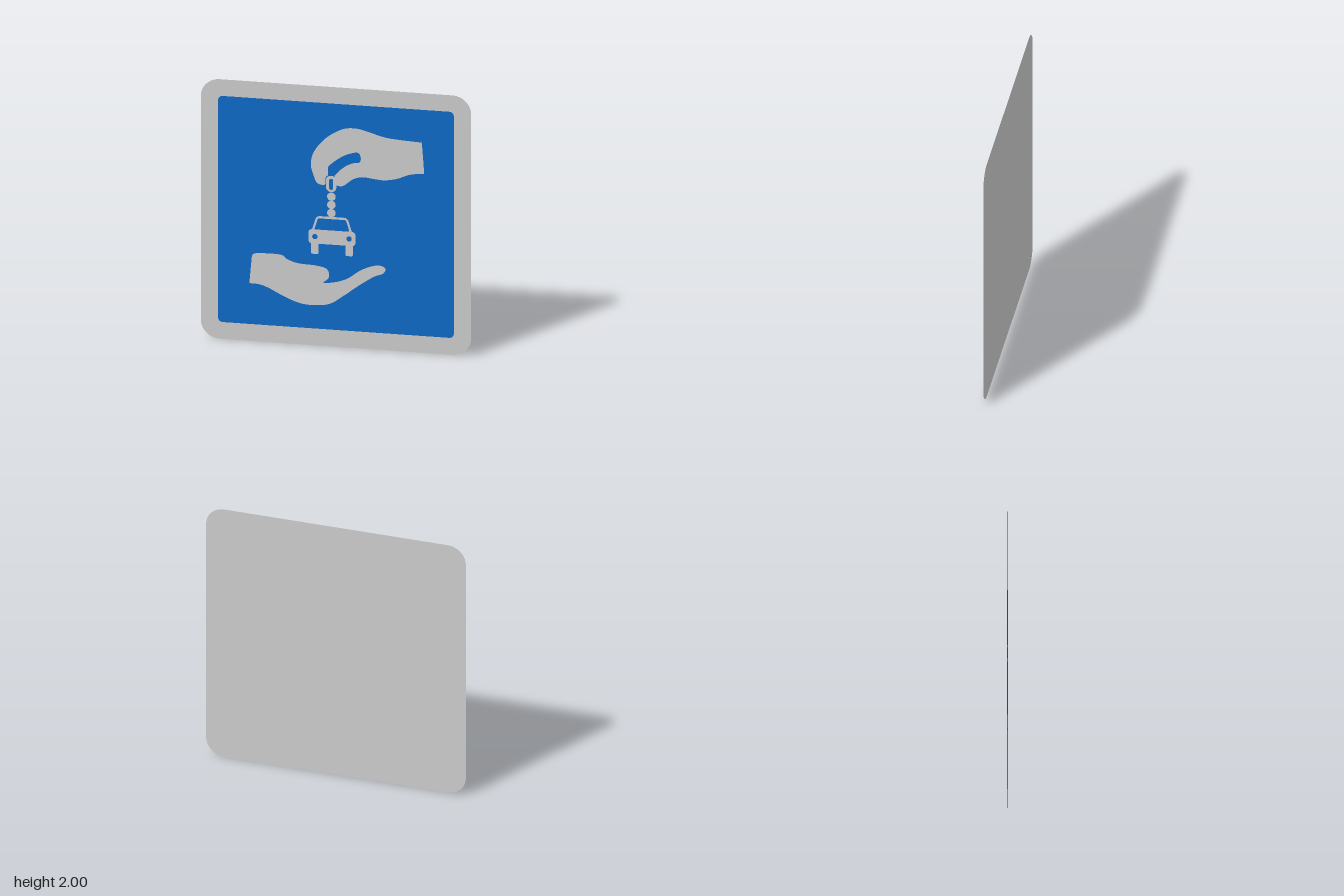
import * as THREE from 'three';

const grey = new THREE.MeshStandardMaterial({ color: 0xcccccc, side: THREE.DoubleSide });
const blue = new THREE.MeshStandardMaterial({ color: 0x0e69c5, side: THREE.DoubleSide });

// Closed outline from smooth runs; corners stay sharp where runs meet.
function outline(...runs) {
  const points = [];
  for (const run of runs) {
    const v = run.map(([x, y]) => new THREE.Vector2(x, y));
    points.push(...(v.length > 2 ? new THREE.SplineCurve(v).getPoints(v.length * 5) : v));
  }
  return new THREE.Shape(points.filter((p, i) => i === 0 || p.distanceTo(points[i - 1]) > 1e-5));
}

// Polygon with every corner rounded by radius r.
function rounded(corners, r) {
  const v = corners.map(([x, y]) => new THREE.Vector2(x, y));
  const s = new THREE.Shape();
  v.forEach((p, i) => {
    const toward = (q) => p.clone().add(q.clone().sub(p).setLength(r));
    const a = toward(v[(i + v.length - 1) % v.length]);
    const b = toward(v[(i + 1) % v.length]);
    if (i === 0) s.moveTo(a.x, a.y); else s.lineTo(a.x, a.y);
    const k = 0.552; // circle-like corner
    const c1 = a.clone().lerp(p, k), c2 = b.clone().lerp(p, k);
    s.bezierCurveTo(c1.x, c1.y, c2.x, c2.y, b.x, b.y);
  });
  s.closePath();
  return s;
}

const rect = (x0, y0, x1, y1, r) => rounded([[x0, y0], [x1, y0], [x1, y1], [x0, y1]], r);

const disc = (x, y, r) => new THREE.Shape().absarc(x, y, r, 0, Math.PI * 2);

export function createModel() {
  const group = new THREE.Group();
  const add = (name, shape, z, material = grey, parent = group) => {
    const mesh = new THREE.Mesh(new THREE.ShapeGeometry(shape, 16), material);
    mesh.name = name;
    mesh.position.z = z;
    parent.add(mesh);
  };

  // Sign plate and coloured field
  add('backPlate', rect(-1, 0, 1, 2, 0.14), -0.007);
  add('bluePanel', rect(-0.872, 0.13, 0.872, 1.873, 0.035), -0.005, blue);

  // Hand holding the key ring
  add('upperHand', outline(
    [[0.63, 1.625], [0.638, 1.61], [0.655, 1.39]],
    [[0.655, 1.385], [0.55, 1.37], [0.45, 1.33], [0.36, 1.313], [0.28, 1.318], [0.20, 1.325],
      [0.13, 1.305], [0.06, 1.25], [0.02, 1.245], [0, 1.26], [-0.01, 1.32]],
    [[0, 1.33], [0.03, 1.365], [0.08, 1.405], [0.13, 1.428], [0.175, 1.437], [0.186, 1.47],
      [0.172, 1.507], [0.14, 1.51], [0.07, 1.485], [0, 1.44], [-0.05, 1.395]],
    [[-0.055, 1.385], [-0.055, 1.32]],
    [[-0.06, 1.32], [-0.075, 1.30], [-0.075, 1.255], [-0.10, 1.245], [-0.14, 1.26],
      [-0.165, 1.32], [-0.183, 1.385], [-0.175, 1.46], [-0.14, 1.53], [-0.07, 1.61],
      [0.02, 1.67], [0.09, 1.695], [0.17, 1.695], [0.25, 1.675], [0.36, 1.645],
      [0.47, 1.633], [0.625, 1.625]],
  ), 0.006);

  // Open palm
  add('lowerHand', outline(
    [[-0.64, 0.45], [-0.622, 0.65]],
    [[-0.615, 0.67], [-0.57, 0.682], [-0.41, 0.682], [-0.36, 0.65], [-0.28, 0.625],
      [-0.15, 0.617], [-0.075, 0.60], [-0.05, 0.56], [-0.058, 0.52], [-0.095, 0.492]],
    [[-0.085, 0.485], [0, 0.50], [0.09, 0.535], [0.17, 0.595], [0.25, 0.635], [0.32, 0.65],
      [0.365, 0.63], [0.35, 0.59], [0.28, 0.56], [0.17, 0.485], [0.06, 0.40], [-0.05, 0.327],
      [-0.18, 0.31], [-0.28, 0.322], [-0.39, 0.365], [-0.50, 0.42], [-0.57, 0.442], [-0.635, 0.445]],
  ), -0.003);

  // Key ring and chain of beads
  const cx = -0.033;
  const ring = rect(cx - 0.038, 1.195, cx + 0.038, 1.32, 0.036);
  ring.holes.push(rect(cx - 0.015, 1.212, cx + 0.015, 1.297, 0.014));
  add('keyRing', ring, 0.007);
  for (const y of [1.156, 1.093, 1.03]) add('chainBead', disc(cx, y, 0.032), -0.001);

  // Car seen from the front
  const car = new THREE.Group();
  car.name = 'car';
  car.position.x = -0.029;
  group.add(car);
  const cabin = rounded([[-0.155, 0.87], [0.155, 0.87], [0.115, 1], [-0.115, 1]], 0.025);
  cabin.holes.push(rounded([[-0.13, 0.895], [0.13, 0.895], [0.103, 0.982], [-0.103, 0.982]], 0.008));
  const body = rect(-0.173, 0.786, 0.173, 0.895, 0.024);
  for (const side of [-1, 1]) body.holes.push(disc(side * 0.126, 0.84, 0.02));
  add('carCabin', cabin, -0.0025, grey, car);
  add('carBody', body, -0.002, grey, car);
  for (const side of [-1, 1]) {
    const x = side * 0.127;
    add('carWheel', rect(x - 0.028, 0.706, x + 0.028, 0.80, 0.012), -0.0025, grey, car);
  }
  return group;
}
